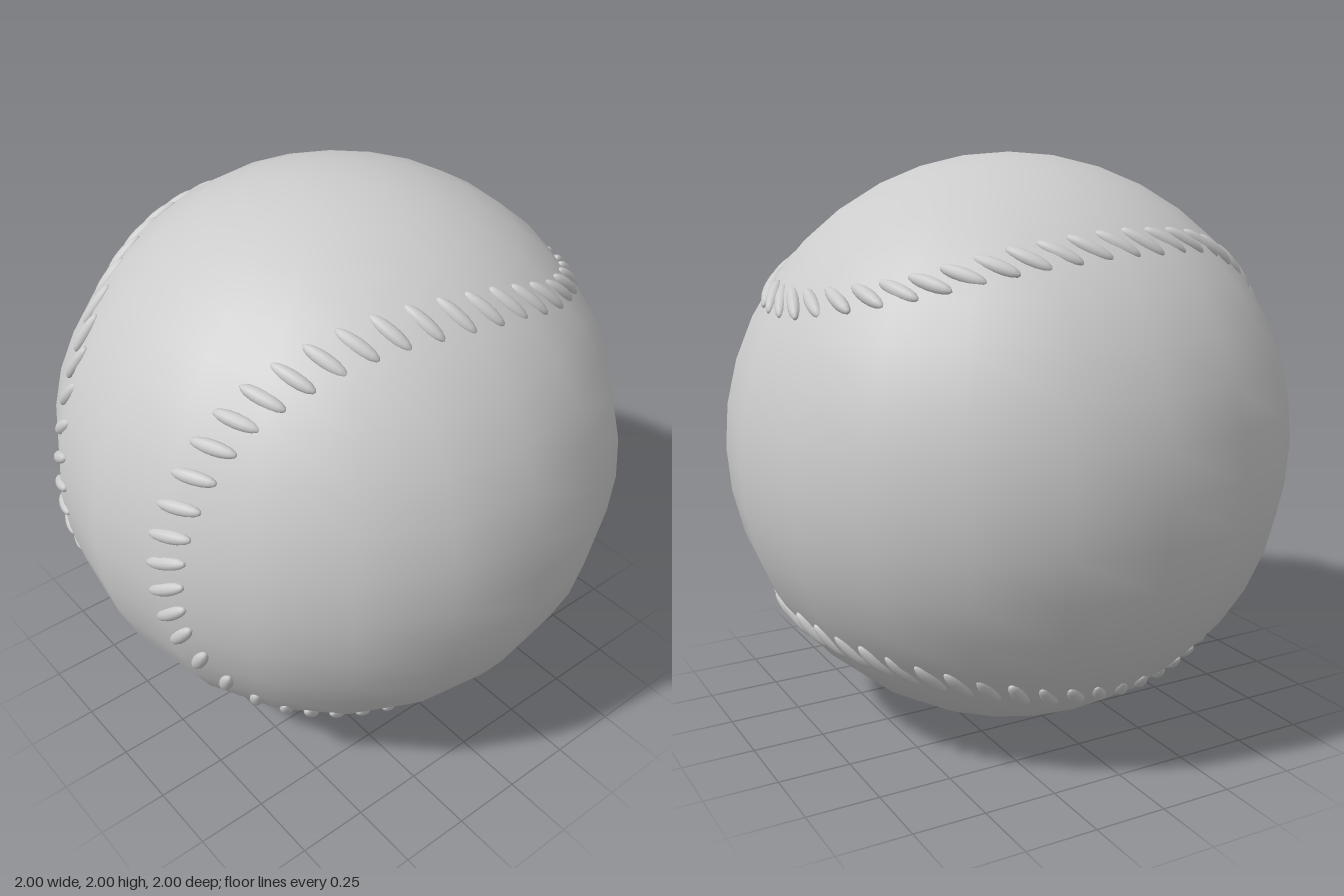
import * as THREE from 'three';

// Seam control points: direction from the ball's centre (x, y, z) and stitch slant in degrees.
// Four stitches sit on each span between neighbouring points.
const SEAM = [
  [0.33, 0.22, 0.92, 20], [0.40, 0.59, 0.70, 25], [0.525, 0.77, 0.35, 28], [0.62, 0.78, -0.07, 33],
  [0.57, 0.68, -0.465, 52], [0.30, 0.565, -0.77, 52], [-0.09, 0.545, -0.835, 48], [-0.465, 0.61, -0.635, 55],
  [-0.645, 0.705, -0.29, 45], [-0.66, 0.74, 0.11, 42], [-0.515, 0.69, 0.51, 58], [-0.353, 0.46, 0.815, 45],
  [-0.326, 0.035, 0.945, 25], [-0.40, -0.355, 0.845, 18], [-0.487, -0.67, 0.56, 25], [-0.62, -0.75, 0.25, 33],
  [-0.66, -0.72, -0.12, 40], [-0.57, -0.65, -0.50, 40], [-0.30, -0.58, -0.75, 38], [0.08, -0.55, -0.83, 35],
  [0.476, -0.618, -0.626, 30], [0.66, -0.714, -0.235, 38], [0.605, -0.757, 0.246, 40], [0.487, -0.62, 0.62, 40],
  [0.342, -0.19, 0.92, 37],
];
const STITCHES_PER_SPAN = 4;

export function createModel() {
  const group = new THREE.Group();
  group.name = 'stitchedBall';
  const material = new THREE.MeshStandardMaterial({ color: 0xcccccc });

  // Ball
  const ball = new THREE.Mesh(new THREE.SphereGeometry(1, 20, 20), material);
  ball.name = 'ball';
  ball.position.y = 1;
  group.add(ball);

  // Closed seam path over the ball
  const seam = new THREE.CatmullRomCurve3(
    SEAM.map(([x, y, z]) => new THREE.Vector3(x, y, z).normalize()), true);

  // One stitch: a slim ellipsoid lying along x
  const stitchGeometry = new THREE.SphereGeometry(1, 12, 8);
  stitchGeometry.rotateZ(Math.PI / 2);
  stitchGeometry.scale(0.08, 0.022, 0.024);

  const stitches = new THREE.Group();
  stitches.name = 'stitches';
  stitches.position.y = 1;
  const count = SEAM.length * STITCHES_PER_SPAN;
  for (let i = 0; i < count; i++) {
    const span = Math.floor(i / STITCHES_PER_SPAN);
    const slant = THREE.MathUtils.degToRad(THREE.MathUtils.lerp(
      SEAM[span][3], SEAM[(span + 1) % SEAM.length][3], (i % STITCHES_PER_SPAN) / STITCHES_PER_SPAN));

    // Lay the stitch across the seam, slanted along the direction of travel
    const out = seam.getPoint(i / count).normalize();
    const along = seam.getTangent(i / count).projectOnPlane(out).normalize();
    const across = along.clone().cross(out);
    const length = across.multiplyScalar(Math.cos(slant)).addScaledVector(along, Math.sin(slant));
    const width = length.clone().cross(out);

    const stitch = new THREE.Mesh(stitchGeometry, material);
    stitch.name = 'stitch';
    stitch.quaternion.setFromRotationMatrix(
      new THREE.Matrix4().makeBasis(length, out, width));
    stitch.position.copy(out).multiplyScalar(0.99);
    stitches.add(stitch);
  }
  group.add(stitches);
  return group;
}
